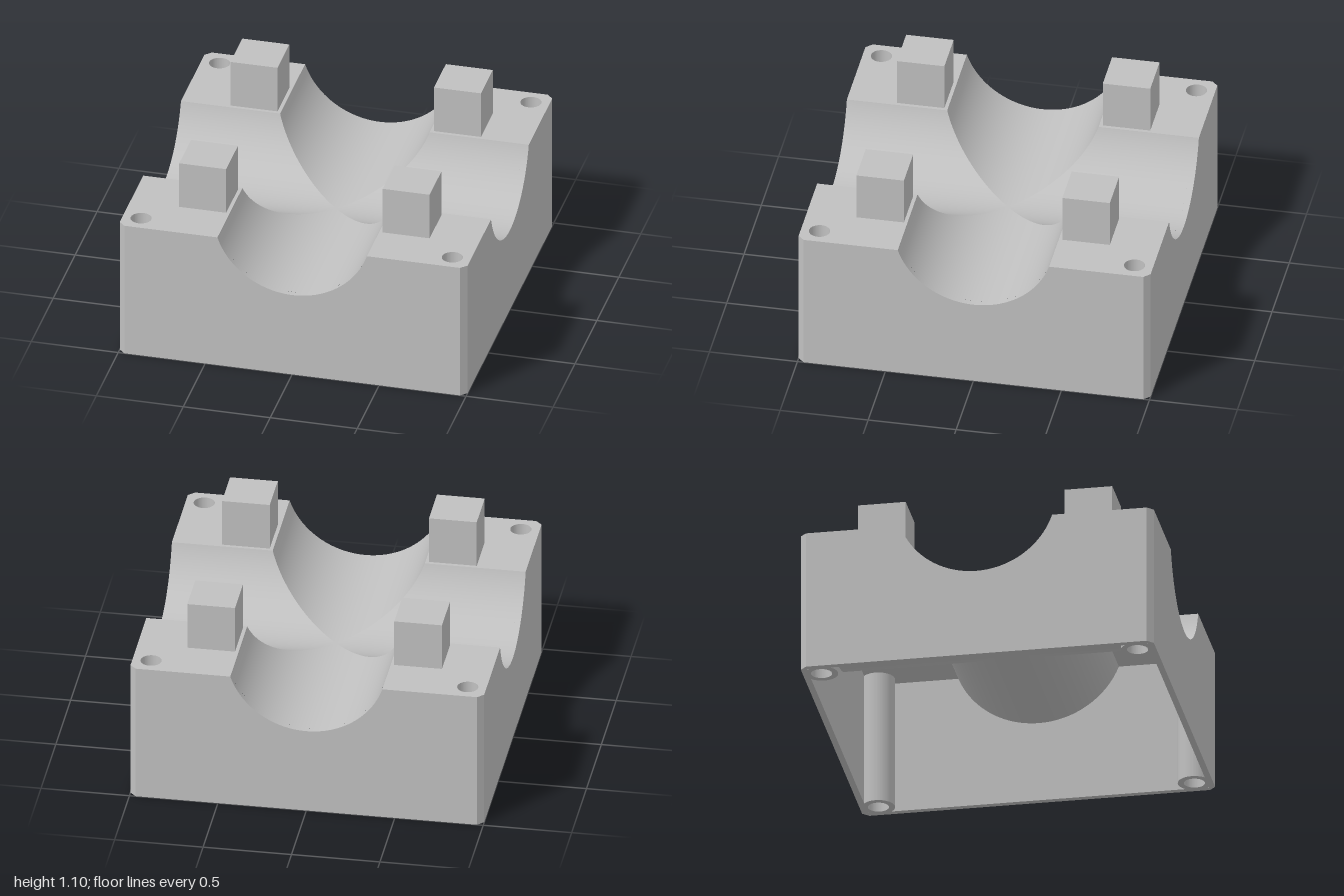
import * as THREE from 'three';

const TOP = 0.82;          // height of the flat top
const W = 0.035;           // shell thickness
const IN = 1 - W;          // inner face of the walls
const R = 0.453;           // channel radius
const CY = 0.963;          // height of the channel axis
const EDGE = Math.sqrt(R * R - (CY - TOP) ** 2); // half width of the channel at the top
const POST = 0.895, HOLE_R = 0.059, POST_R = 0.093;
const PEG0 = 0.45, PEG1 = 0.72, PEG_TOP = 1.1;

const polygon = (pts) => new THREE.Shape(pts.map(([x, y]) => new THREE.Vector2(x, y)));
const square = (a, b) => polygon([[a, a], [b, a], [b, b], [a, b]]);
const circle = (x, y, r) => new THREE.Shape().absarc(x, y, r, 0, Math.PI * 2, false);

// Upright extrusion of a plan shape between two heights
function upright(shape, y0, y1, holes = []) {
  shape.holes.push(...holes);
  const g = new THREE.ExtrudeGeometry(shape, { depth: y1 - y0, bevelEnabled: false, curveSegments: 40 });
  return g.rotateX(-Math.PI / 2).translate(0, y0, 0);
}

// One arm of a channel surface, mitred at 45 degrees toward the centre
function channelArm(radius, flatY, underside) {
  const half = Math.asin(Math.sqrt(radius ** 2 - (CY - flatY) ** 2) / radius);
  const n = 48, pos = [], nor = [], idx = [];
  const s = underside ? -1 : 1;
  for (let i = 0; i <= n; i++) {
    const a = half * (2 * i / n - 1);
    const x = radius * Math.sin(a), y = CY - radius * Math.cos(a);
    pos.push(x, y, Math.abs(x), x, y, IN);
    for (let k = 0; k < 2; k++) nor.push(-s * Math.sin(a), s * Math.cos(a), 0);
    if (i === n) break;
    const p = 2 * i;
    if (underside) idx.push(p, p + 3, p + 1, p, p + 2, p + 3);
    else idx.push(p, p + 1, p + 3, p, p + 3, p + 2);
  }
  const g = new THREE.BufferGeometry();
  g.setAttribute('position', new THREE.Float32BufferAttribute(pos, 3));
  g.setAttribute('normal', new THREE.Float32BufferAttribute(nor, 3));
  g.setIndex(idx);
  return g;
}

// Side wall with the round notch of the channel
function wallGeometry() {
  const a = Math.asin(EDGE / R);
  const shape = new THREE.Shape();
  shape.moveTo(-IN, 0);
  shape.lineTo(IN, 0);
  shape.lineTo(IN, TOP);
  shape.lineTo(EDGE, TOP);
  shape.absarc(0, CY, R, -Math.PI / 2 + a, -Math.PI / 2 - a, true);
  shape.lineTo(-IN, TOP);
  shape.closePath();
  return new THREE.ExtrudeGeometry(shape, { depth: W, bevelEnabled: false, curveSegments: 48 }).translate(0, 0, IN);
}

export function createModel() {
  const model = new THREE.Group();
  model.name = 'crossChannelBlock';
  const grey = new THREE.MeshStandardMaterial({ color: 0xc0c0c0 });
  grey.name = 'plain grey';

  const parts = {
    wall: wallGeometry(),
    channel: channelArm(R, TOP, false),
    channelUnderside: channelArm(R + W, TOP - W, true),
    // Flat corner of the top, pierced by the screw hole and the peg cavity
    cornerPlate: upright(square(EDGE, IN), TOP - W, TOP,
      [circle(POST, POST, HOLE_R), square(PEG0 + W, PEG1 - W)]),
    // Chamfered outer corner
    cornerChamfer: upright(polygon([[IN, IN], [1, IN], [IN, 1]]), 0, TOP),
    // Hollow screw post inside the shell
    screwPost: upright(circle(POST, POST, POST_R), 0, TOP - W, [circle(POST, POST, HOLE_R)]),
    // Hollow square peg, open below
    pegSides: upright(square(PEG0, PEG1), TOP, PEG_TOP - W, [square(PEG0 + W, PEG1 - W)]),
    pegCap: upright(square(PEG0, PEG1), PEG_TOP - W, PEG_TOP),
  };

  // Four identical quarters around the vertical axis
  for (let q = 0; q < 4; q++) {
    const quarter = new THREE.Group();
    quarter.name = `quarter${q + 1}`;
    for (const [name, geometry] of Object.entries(parts)) {
      const mesh = new THREE.Mesh(geometry, grey);
      mesh.name = name;
      quarter.add(mesh);
    }
    quarter.rotation.y = q * Math.PI / 2;
    model.add(quarter);
  }
  return model;
}
